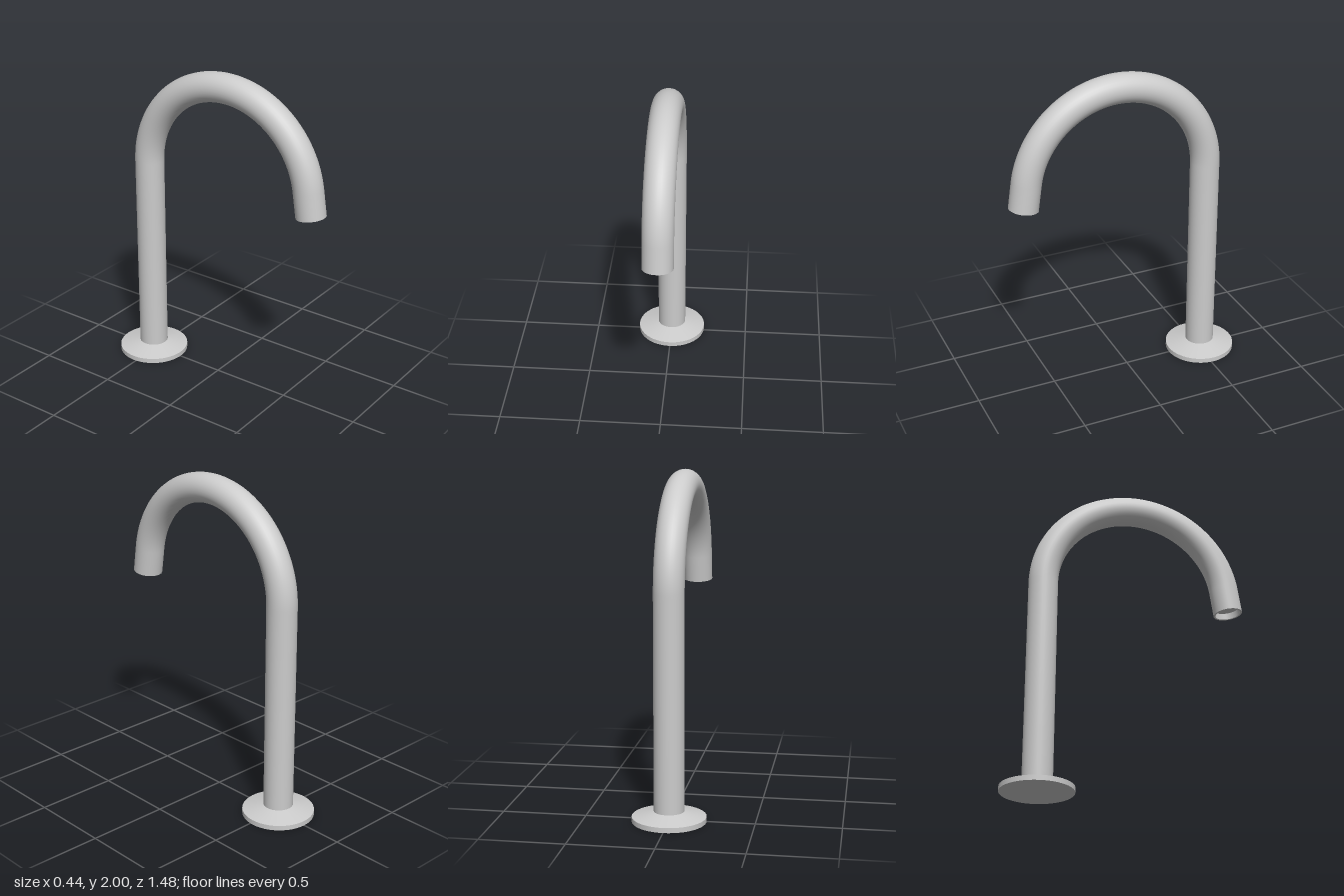
import * as THREE from 'three';

const TUBE_R = 0.09, POST_Z = -0.52, BEND_R = 0.58;
const BEND_Y = 1.33, BEND_Z = 0.06;
const TILT = THREE.MathUtils.degToRad(8.5); // outward lean of the outlet
const TIP = 0.157;                          // straight length after the bend

// Circular bend in the y-z plane, from the post over to the outlet
class Bend extends THREE.Curve {
  getPoint(t, target = new THREE.Vector3()) {
    const a = Math.PI + (TILT - Math.PI) * t;
    return target.set(0, BEND_Y + BEND_R * Math.sin(a), BEND_Z + BEND_R * Math.cos(a));
  }
}

export function createModel() {
  const group = new THREE.Group();
  const material = new THREE.MeshStandardMaterial({ color: 0xcccccc, side: THREE.DoubleSide });
  const add = (name, geometry) => {
    const mesh = new THREE.Mesh(geometry, material);
    mesh.name = name;
    group.add(mesh);
    return mesh;
  };
  const lathe = (points) =>
    new THREE.LatheGeometry(points.map(([r, y]) => new THREE.Vector2(r, y)), 48);

  // Spout: straight post, bend, short straight tip
  const bend = new Bend();
  const bendEnd = bend.getPoint(1);
  const tip = bendEnd.clone().add(
    new THREE.Vector3(0, -Math.cos(TILT), Math.sin(TILT)).multiplyScalar(TIP));
  const path = new THREE.CurvePath();
  path.add(new THREE.LineCurve3(new THREE.Vector3(0, 0.03, POST_Z), bend.getPoint(0)));
  path.add(bend);
  path.add(new THREE.LineCurve3(bendEnd, tip));
  add('spout', new THREE.TubeGeometry(path, 120, TUBE_R, 32, false));

  // Outlet: thin lip, inner wall and recessed face (creases doubled to stay sharp)
  const outlet = add('outlet', lathe([
    [TUBE_R, 0], [0.078, 0], [0.078, 0], [0.078, 0.04], [0.078, 0.04], [0, 0.04],
  ]));
  outlet.position.copy(tip);
  outlet.rotation.x = -TILT;

  // Base flange: flat underside, short rim and a shallow cone up to the post
  const base = add('baseFlange', lathe([
    [0, 0], [0.218, 0], [0.218, 0], [0.218, 0.03], [0.218, 0.03], [TUBE_R - 0.005, 0.063],
  ]));
  base.position.z = POST_Z;

  return group;
}
